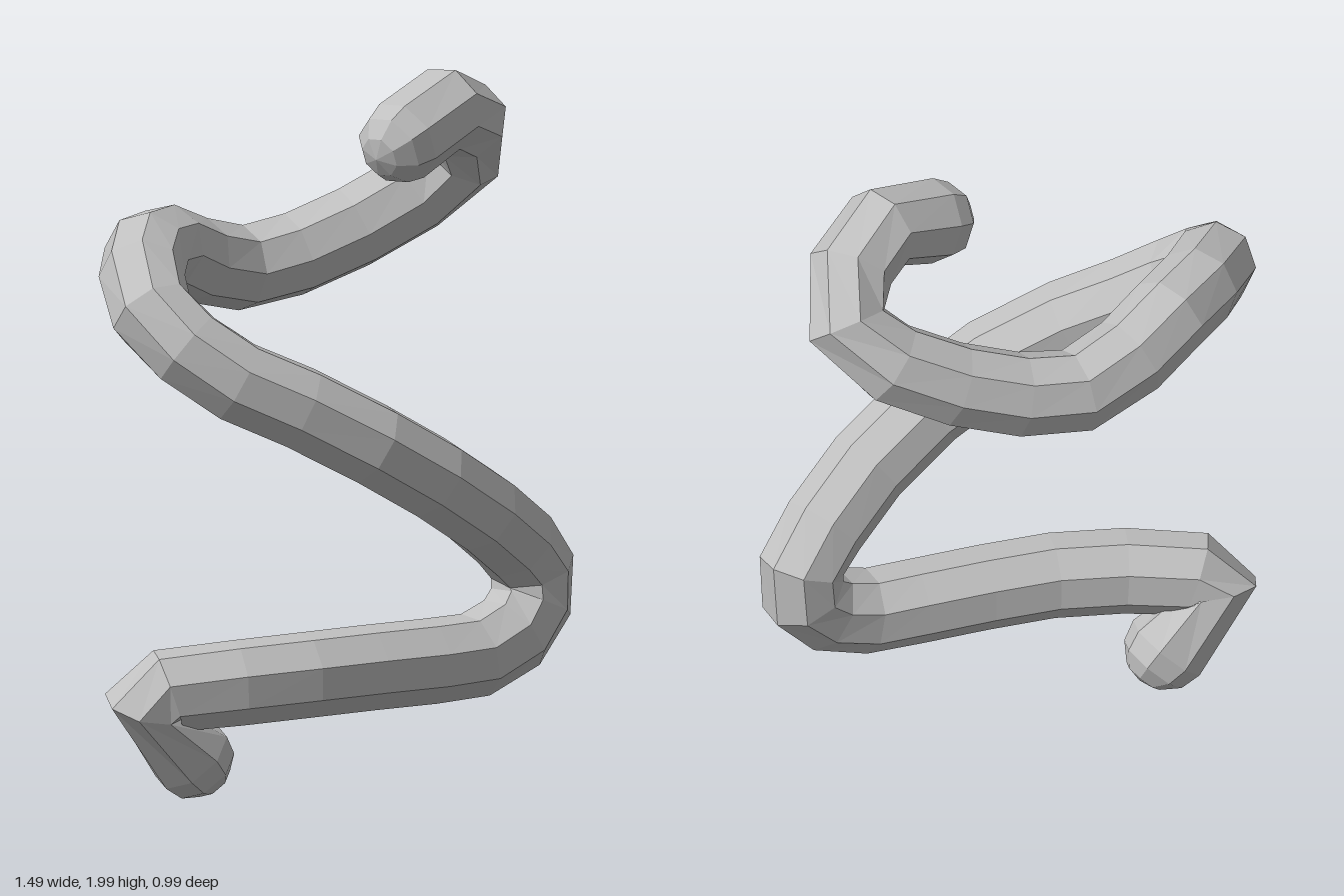
import * as THREE from 'three';

const RADIUS = 0.122, SIDES = 8;

// Centre line of the coil, from the foot to the hooked top
const PATH = [
  [-0.475, 0.122, 0.005], [-0.63, 0.285, 0.0], [-0.58, 0.325, 0.035], [-0.4, 0.34, 0.12],
  [-0.2, 0.35, 0.18], [0, 0.354, 0.21], [0.2, 0.355, 0.235], [0.35, 0.36, 0.25],
  [0.48, 0.41, 0.25], [0.555, 0.49, 0.24], [0.56, 0.59, 0.24], [0.47, 0.68, 0.275],
  [0.3, 0.79, 0.34], [0.1, 0.91, 0.37], [-0.1, 1.025, 0.355], [-0.3, 1.14, 0.28],
  [-0.46, 1.22, 0.2], [-0.57, 1.315, 0.11], [-0.62, 1.41, 0.01], [-0.57, 1.495, -0.1],
  [-0.46, 1.53, -0.22], [-0.33, 1.525, -0.3], [-0.18, 1.465, -0.352], [0, 1.42, -0.38],
  [0.17, 1.445, -0.355], [0.35, 1.51, -0.31], [0.52, 1.6, -0.25], [0.62, 1.71, -0.165],
  [0.56, 1.825, -0.07], [0.43, 1.88, 0.0], [0.245, 1.815, 0.045],
].map((p) => new THREE.Vector3(...p));

// Sweep an octagon along the path, closing both ends with rounded caps
function sweep(path, radius, sides) {
  const last = path.length - 1;
  const tangents = path.map((p, i) => {
    const into = p.clone().sub(path[Math.max(i - 1, 0)]).normalize();
    const out = path[Math.min(i + 1, last)].clone().sub(p).normalize();
    return into.add(out).normalize();
  });
  const rings = [];
  const normal = new THREE.Vector3(0, 0, 1);
  const addRing = (centre, t, r) => {
    normal.addScaledVector(t, -normal.dot(t)).normalize();
    const side = t.clone().cross(normal);
    rings.push(Array.from({ length: sides }, (_, j) => {
      const a = (j / sides) * Math.PI * 2;
      return centre.clone().addScaledVector(normal, r * Math.cos(a)).addScaledVector(side, r * Math.sin(a));
    }));
  };
  const addCapRing = (end, angle, sign) => addRing(
    path[end].clone().addScaledVector(tangents[end], sign * radius * Math.sin(angle)),
    tangents[end], radius * Math.cos(angle));
  const capAngles = [Math.PI / 6, Math.PI / 3, Math.PI / 2];

  [...capAngles].reverse().forEach((a) => addCapRing(0, a, -1));
  path.forEach((p, i) => addRing(p, tangents[i], radius));
  capAngles.forEach((a) => addCapRing(last, a, 1));

  const index = [];
  for (let i = 0; i < rings.length - 1; i++) {
    for (let j = 0; j < sides; j++) {
      const k = (j + 1) % sides;
      const a = i * sides + j, b = i * sides + k, c = a + sides, d = b + sides;
      if (i > 0) index.push(a, b, c);
      if (i < rings.length - 2) index.push(b, d, c);
      else index.push(b, c, c);
    }
  }
  const geometry = new THREE.BufferGeometry().setFromPoints(rings.flat());
  geometry.setIndex(index.filter((_, n) => {
    const f = n - (n % 3);
    return index[f + 1] !== index[f + 2]; // drop collapsed faces at the tip
  }));
  geometry.computeVertexNormals();
  return geometry;
}

export function createModel() {
  const group = new THREE.Group();
  group.name = 'coil';
  const grey = new THREE.MeshStandardMaterial({ color: 0xc0c0c0, flatShading: true });
  grey.name = 'light grey';

  const tube = new THREE.Mesh(sweep(PATH, RADIUS, SIDES), grey);
  tube.name = 'coiledTube';
  group.add(tube);
  return group;
}
